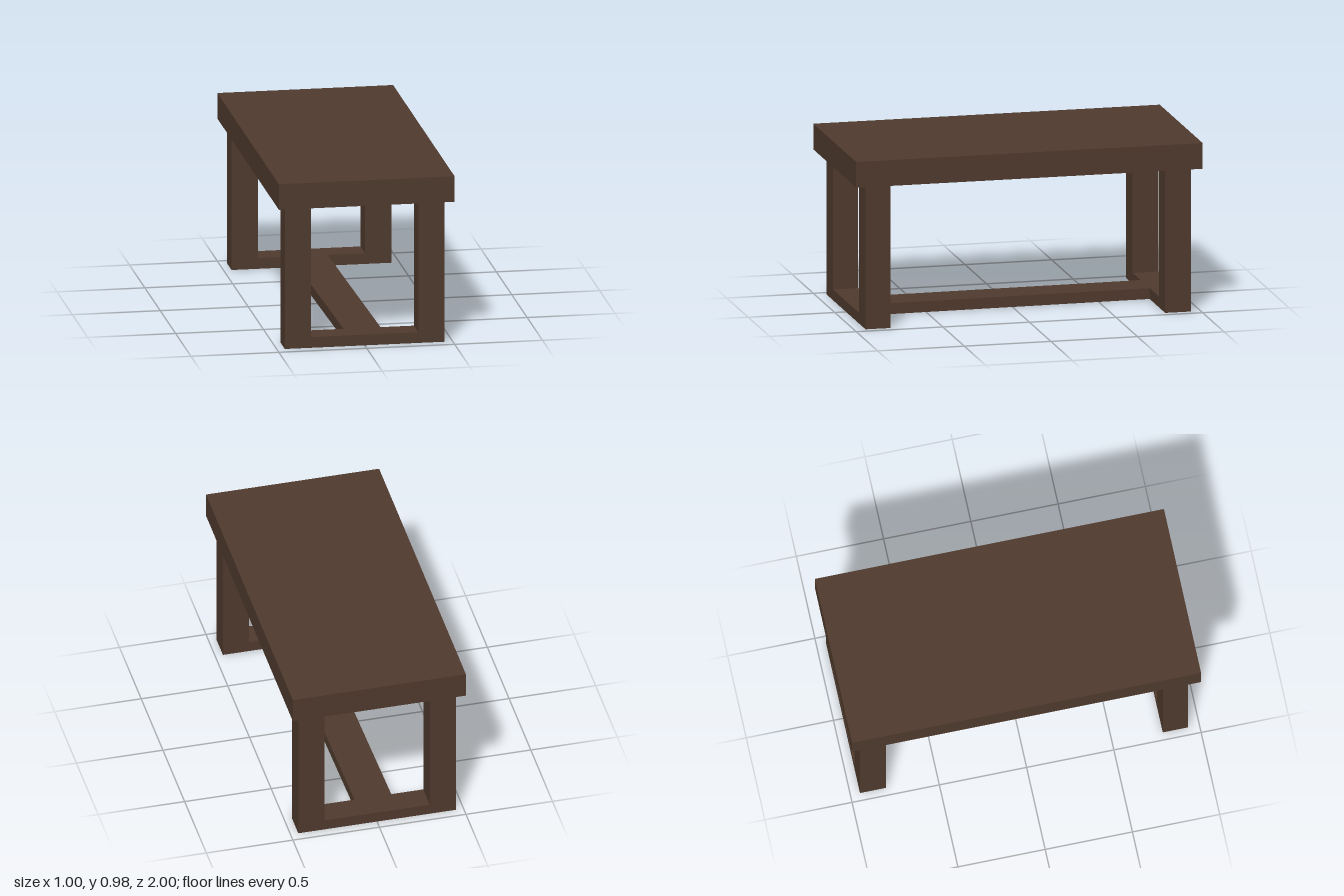
import * as THREE from 'three';

export function createModel() {
  const model = new THREE.Group();
  model.name = 'table';
  const wood = new THREE.MeshStandardMaterial({ color: 0x4f3a2d, side: THREE.DoubleSide });
  wood.name = 'dark brown wood';

  const add = (name, geometry, parent = model) => {
    const mesh = new THREE.Mesh(geometry, wood);
    mesh.name = name;
    parent.add(mesh);
    return mesh;
  };

  // Upright walls around a closed [x, z] outline, open above and below
  const walls = (outline, y0, y1) => {
    const pos = [];
    outline.forEach(([ax, az], i) => {
      const [bx, bz] = outline[(i + 1) % outline.length];
      pos.push(ax, y0, az, bx, y0, bz, bx, y1, bz, ax, y0, az, bx, y1, bz, ax, y1, az);
    });
    const g = new THREE.BufferGeometry();
    g.setAttribute('position', new THREE.Float32BufferAttribute(pos, 3));
    g.computeVertexNormals();
    return g;
  };

  const outer = 0.455, inner = 0.305, railTop = 0.062, topBottom = 0.827, topHeight = 0.148;
  const ends = { front: [0.79, 0.935], back: [-0.945, -0.795] };

  // Thick slab top
  add('tableTop', new THREE.BoxGeometry(1, topHeight, 2))
    .position.y = topBottom + topHeight / 2;

  // Hollow legs, open into the base below
  for (const [end, [z0, z1]] of Object.entries(ends)) {
    for (const side of [-1, 1]) {
      const x0 = side < 0 ? -outer : inner;
      const x1 = side < 0 ? -inner : outer;
      add(`${end}${side < 0 ? 'Right' : 'Left'}Leg`,
        walls([[x0, z1], [x1, z1], [x1, z0], [x0, z0]], railTop, topBottom));
    }
  }

  // H-shaped base: two cross rails and a long stretcher, hollow underneath
  const base = new THREE.Group();
  base.name = 'base';
  model.add(base);
  const [f0, f1] = ends.front, [b0, b1] = ends.back;
  const frontX = [-0.095, 0.115], backX = [-0.12, 0.092];
  add('baseSides', walls([
    [-outer, f1], [outer, f1], [outer, f0], [frontX[1], f0],
    [backX[1], b1], [outer, b1], [outer, b0], [-outer, b0],
    [-outer, b1], [backX[0], b1], [frontX[0], f0], [-outer, f0],
  ], 0, railTop), base);

  // Upper face of the base, between the legs
  const face = new THREE.Shape([
    [-inner, f1], [inner, f1], [inner, f0], [frontX[1], f0],
    [backX[1], b1], [inner, b1], [inner, b0], [-inner, b0],
    [-inner, b1], [backX[0], b1], [frontX[0], f0], [-inner, f0],
  ].map(([x, z]) => new THREE.Vector2(x, -z)));
  add('baseTop', new THREE.ShapeGeometry(face).rotateX(-Math.PI / 2), base)
    .position.y = railTop;

  return model;
}
